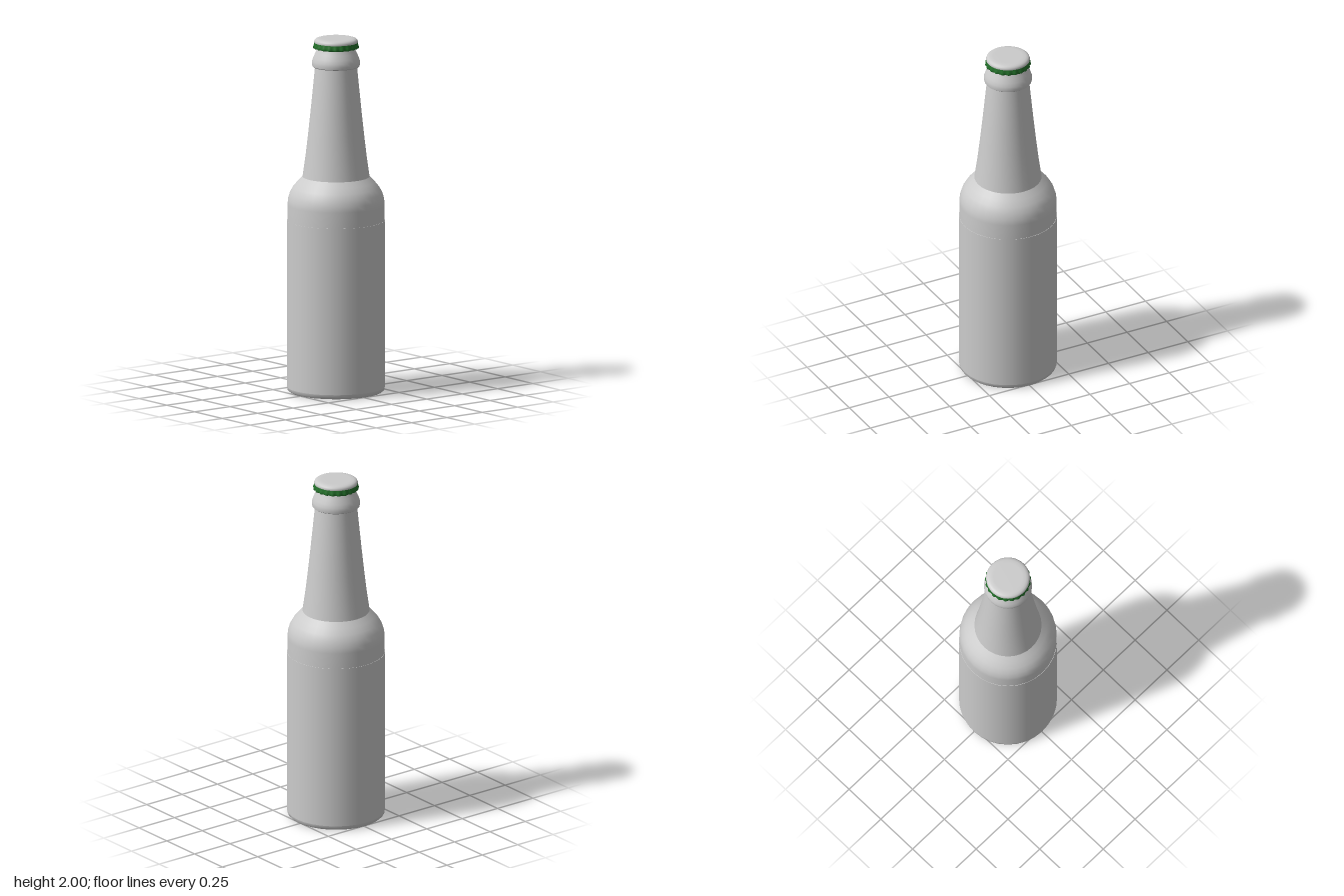
import * as THREE from 'three';

const SIDES = 32;
const grey = new THREE.MeshStandardMaterial({ color: 0xcccccc, side: THREE.DoubleSide });
const green = new THREE.MeshStandardMaterial({ color: 0x23702a, side: THREE.DoubleSide });

const profile = (pts) => pts.map(([r, y]) => new THREE.Vector2(r, y));

// Revolve a profile (radius, height), listed from bottom to top
function turned(name, pts, material = grey, sides = SIDES) {
  const mesh = new THREE.Mesh(new THREE.LatheGeometry(profile(pts), sides), material);
  mesh.name = name;
  return mesh;
}

// Cap skirt: radius rippled by teeth that grow towards the lower edge
function crimpedSkirt() {
  const teeth = 21, top = 1.982, bottom = 1.944;
  const pts = [[0.112, 1.946], [0.119, bottom], [0.1225, 1.95], [0.121, 1.96], [0.12, 1.972], [0.119, top]];
  const geo = new THREE.LatheGeometry(profile(pts), teeth * 8);
  const pos = geo.attributes.position;
  for (let i = 0; i < pos.count; i++) {
    const x = pos.getX(i), y = pos.getY(i), z = pos.getZ(i);
    const t = (top - y) / (top - bottom);
    const wave = 0.5 + 0.5 * Math.cos(teeth * Math.atan2(x, z));
    const k = 1 + 0.06 * t * wave;
    pos.setXYZ(i, x * k, y, z * k);
  }
  geo.computeVertexNormals();
  const mesh = new THREE.Mesh(geo, green);
  mesh.name = 'capSkirt';
  return mesh;
}

export function createModel() {
  const bottle = new THREE.Group();
  bottle.name = 'bottle';

  // Glass: hollowed base, straight body, shoulder, neck and collar
  bottle.add(
    turned('base', [
      [0, 0.045], [0.08, 0.042], [0.13, 0.034], [0.165, 0.02], [0.185, 0.006],
      [0.205, 0], [0.245, 0], [0.26, 0.003], [0.27, 0.012], [0.273, 0.028],
    ]),
    turned('body', [[0.273, 0.028], [0.273, 0.97]]),
    turned('bodyEdge', [[0.273, 0.97], [0.271, 0.97]]),
    turned('shoulder', [
      [0.271, 0.97], [0.271, 1.06], [0.268, 1.09], [0.258, 1.125],
      [0.24, 1.157], [0.215, 1.187], [0.187, 1.217],
    ]),
    turned('neck', [
      [0.187, 1.217], [0.171, 1.33], [0.157, 1.45], [0.143, 1.58],
      [0.131, 1.7], [0.122, 1.79], [0.117, 1.845],
    ]),
    turned('collarUnderside', [[0.115, 1.842], [0.127, 1.838], [0.132, 1.842]]),
    turned('collar', [
      [0.132, 1.842], [0.134, 1.855], [0.133, 1.872], [0.126, 1.892],
      [0.115, 1.918], [0.104, 1.94], [0.1, 1.955], [0.1, 1.975],
    ]),
  );

  // Crown cap: rounded top over a crimped skirt
  const cap = new THREE.Group();
  cap.name = 'cap';
  cap.add(
    crimpedSkirt(),
    turned('capTop', [
      [0.121, 1.975], [0.122, 1.981], [0.119, 1.989], [0.112, 1.995],
      [0.1, 1.999], [0.08, 2], [0, 2],
    ], grey, 64),
  );
  bottle.add(cap);
  return bottle;
}
